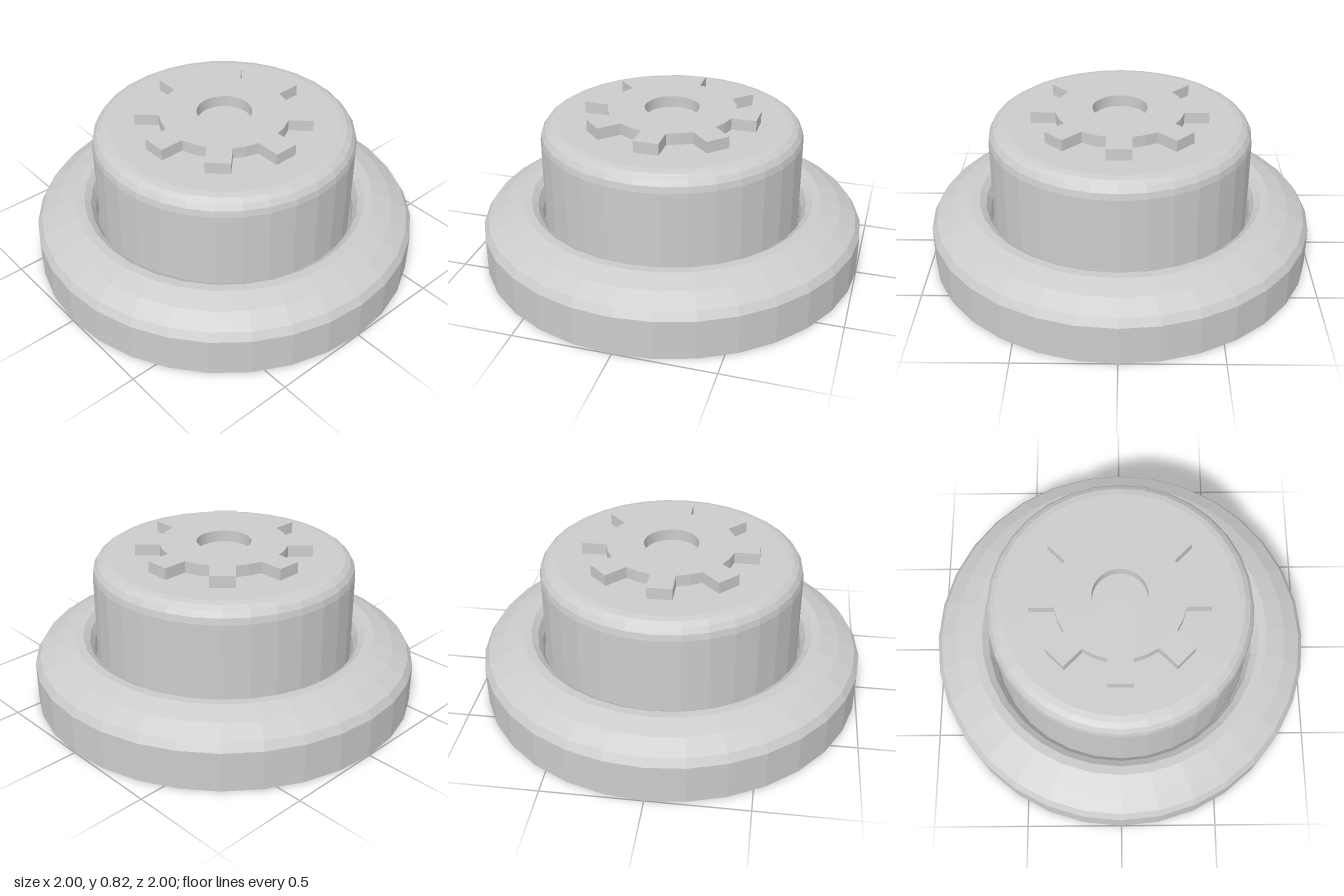
import * as THREE from 'three';

const SIDES = 32;

function lathe(name, profile, side = THREE.FrontSide) {
  const points = profile.map(([r, y]) => new THREE.Vector2(r, y));
  const material = new THREE.MeshStandardMaterial({ color: 0xcccccc, flatShading: true, side });
  const mesh = new THREE.Mesh(new THREE.LatheGeometry(points, SIDES), material);
  mesh.name = name;
  return mesh;
}

// Eight-toothed flat gear with a round centre hole
function gear({ teeth, root, tip, halfWidth, bore, height }) {
  const shape = new THREE.Shape();
  const step = (Math.PI * 2) / teeth;
  const baseAngle = Math.asin(halfWidth / root);
  const baseX = Math.sqrt(root * root - halfWidth * halfWidth);
  for (let i = 0; i < teeth; i++) {
    const a = i * step;
    const c = Math.cos(a), s = Math.sin(a);
    [[baseX, -halfWidth], [tip, -halfWidth], [tip, halfWidth], [baseX, halfWidth]].forEach(([u, v], k) => {
      const x = u * c - v * s, y = u * s + v * c;
      if (i === 0 && k === 0) shape.moveTo(x, y);
      else shape.lineTo(x, y);
    });
    // one rim point halfway to the next tooth
    const mid = a + step / 2;
    if (step > 2 * baseAngle) shape.lineTo(root * Math.cos(mid), root * Math.sin(mid));
  }
  shape.closePath();
  shape.holes.push(new THREE.Path().absarc(0, 0, bore, 0, Math.PI * 2, true));
  const geometry = new THREE.ExtrudeGeometry(shape, { depth: height, bevelEnabled: false, curveSegments: SIDES });
  geometry.rotateX(-Math.PI / 2);
  const mesh = new THREE.Mesh(geometry, new THREE.MeshStandardMaterial({ color: 0xcccccc, flatShading: true }));
  mesh.name = 'gearEmblem';
  return mesh;
}

export function createModel() {
  const model = new THREE.Group();
  model.name = 'pushButton';

  // Hollow collar: outer wall, domed shoulder, rolled inner lip
  model.add(lathe('collar', [
    [1, 0], [1, 0.205], [0.975, 0.245], [0.89, 0.295], [0.79, 0.33],
    [0.745, 0.328], [0.712, 0.305], [0.69, 0.265], [0.682, 0.205],
  ], THREE.DoubleSide));

  // Solid plunger with a rounded top edge
  const radius = 0.675, top = 0.76, fillet = 0.085;
  const plunger = [[0, 0], [radius, 0]];
  for (let i = 0; i <= 4; i++) {
    const a = (i / 4) * (Math.PI / 2);
    plunger.push([radius - fillet + fillet * Math.cos(a), top - fillet + fillet * Math.sin(a)]);
  }
  plunger.push([0, top]);
  model.add(lathe('plunger', plunger));

  // Raised gear on the plunger face
  const emblem = gear({ teeth: 8, root: 0.33, tip: 0.45, halfWidth: 0.063, bore: 0.14, height: 0.06 });
  emblem.position.y = top;
  model.add(emblem);

  return model;
}
